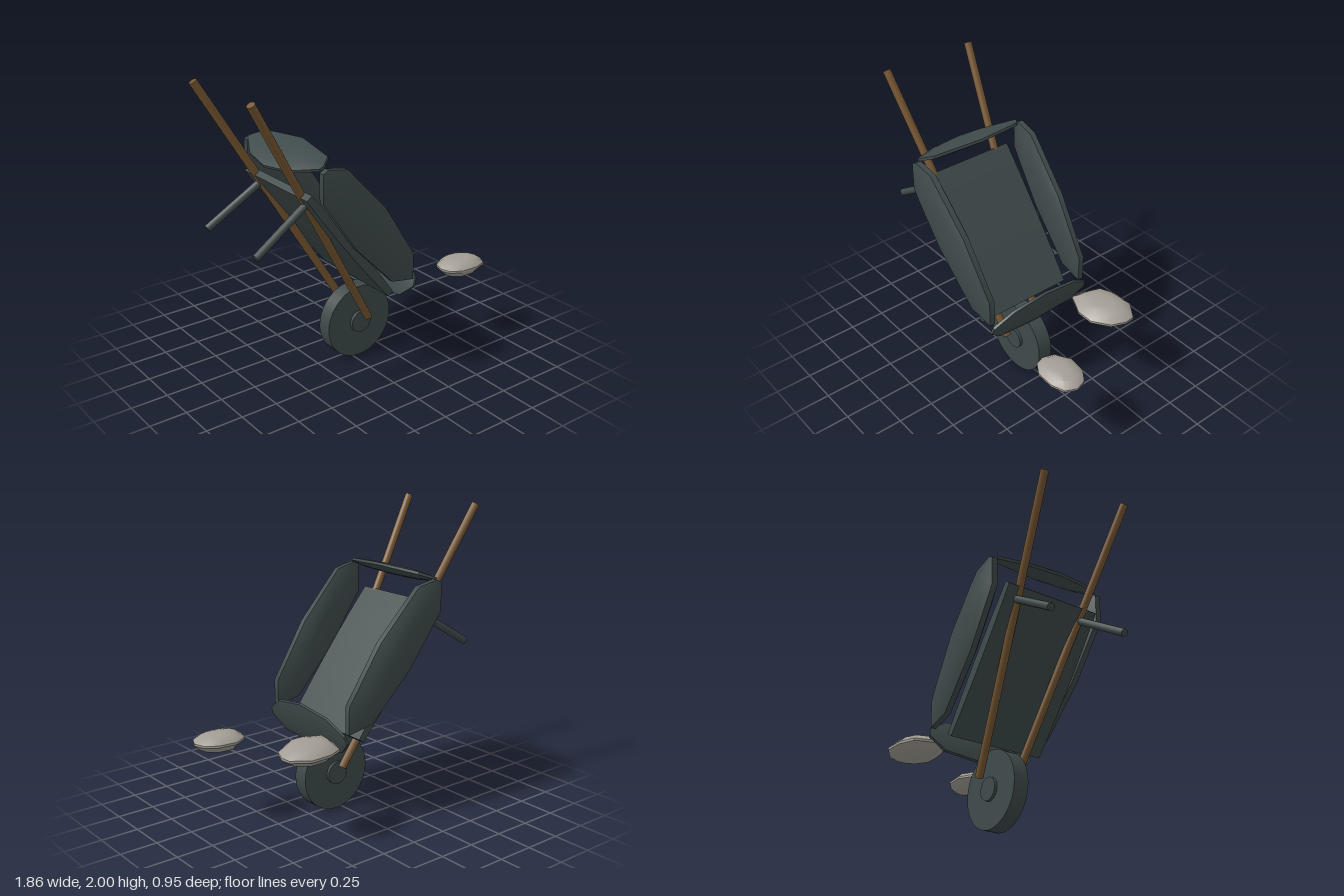
import * as THREE from 'three';
import { toCreasedNormals } from 'three/addons/utils/BufferGeometryUtils.js';

const V = (x, y, z) => new THREE.Vector3(x, y, z);
const MID = 0.015; // z of the barrow's centre plane

// Cushion-like solid: a 2D outline shrinking towards a domed top and bottom.
function lens(outline, top, bottom, rim) {
  const pts = outline.map(p => new THREE.Vector2(...p));
  if (THREE.ShapeUtils.isClockWise(pts)) pts.reverse();
  const c = pts.reduce((a, p) => a.add(p), new THREE.Vector2()).divideScalar(pts.length);
  const n = pts.length;
  const rings = [[0.36, -bottom * 0.95], [0.72, -bottom * 0.76], [1, -bottom * rim],
    [1, top * rim], [0.72, top * 0.76], [0.36, top * 0.95]];
  const pos = [], idx = [];
  for (const [s, h] of rings)
    for (const p of pts) pos.push(c.x + (p.x - c.x) * s, c.y + (p.y - c.y) * s, h);
  for (let r = 0; r < rings.length - 1; r++)
    for (let i = 0; i < n; i++) {
      const a = r * n + i, b = r * n + (i + 1) % n;
      idx.push(a, b, b + n, a, b + n, a + n);
    }
  const low = pos.length / 3, high = low + 1, last = (rings.length - 1) * n;
  pos.push(c.x, c.y, -bottom, c.x, c.y, top);
  for (let i = 0; i < n; i++) {
    const j = (i + 1) % n;
    idx.push(low, j, i, high, last + i, last + j);
  }
  const g = new THREE.BufferGeometry();
  g.setAttribute('position', new THREE.Float32BufferAttribute(pos, 3));
  g.setIndex(idx);
  return g;
}

// Places a flat shape: its x runs along u, its y along v, its thickness along w.
function place(g, u, v, w, at) {
  g.applyMatrix4(new THREE.Matrix4().makeBasis(u, v, w).setPosition(at));
  return toCreasedNormals(g, 0.65);
}

function rod(a, b, r) {
  const d = b.clone().sub(a);
  const g = new THREE.CylinderGeometry(r, r, d.length(), 12);
  g.applyQuaternion(new THREE.Quaternion().setFromUnitVectors(V(0, 1, 0), d.normalize()));
  const m = a.clone().add(b).multiplyScalar(0.5);
  return g.translate(m.x, m.y, m.z);
}

export function createModel() {
  const group = new THREE.Group();
  const mat = (name, color) => Object.assign(new THREE.MeshStandardMaterial({ color }), { name });
  const steel = mat('dark steel', 0x3f4a4a);
  const wood = mat('brown wood', 0x765631);
  const stone = mat('grey stone', 0xa39e95);
  const add = (name, g, m) => {
    const mesh = new THREE.Mesh(g, m);
    mesh.name = name;
    group.add(mesh);
  };

  // wheel and hub
  for (const [name, r, w] of [['wheel', 0.257, 0.105], ['hub', 0.077, 0.146]])
    add(name, new THREE.CylinderGeometry(r, r, w, 40).rotateX(Math.PI / 2).translate(0.05, 0.258, MID), steel);

  // tray floor: a plate, slightly thicker in the middle
  const length = 1.015;
  const floor = new THREE.BoxGeometry(length, 0.045, 0.685, 8, 1, 6);
  const p = floor.attributes.position;
  for (let i = 0; i < p.count; i++) {
    const t = 2 * p.getX(i) / length;
    p.setY(i, p.getY(i) * (1 + 0.6 * (1 - t * t)));
  }
  floor.computeVertexNormals();
  floor.rotateZ(Math.atan2(-0.8, 0.625)).translate(-0.235, 0.965, MID);
  add('trayFloor', floor, steel);

  // handles, legs and side panels, mirrored across the centre plane
  const side = [[-0.51, 1.53], [-0.47, 1.55], [-0.325, 1.52], [-0.02, 1.2], [0.22, 0.83],
    [0.22, 0.65], [0.04, 0.685], [-0.26, 0.99], [-0.51, 1.34]].map(([x, y]) => [x + 0.145, y - 1.1]);
  for (const s of [1, -1]) {
    const label = s > 0 ? 'left' : 'right';
    add(label + 'Handle', rod(V(-0.91, 1.985, MID + s * 0.32), V(0.06, 0.32, MID + s * 0.13), 0.027), wood);
    add(label + 'Leg', rod(V(-0.52, 1.285, MID + s * 0.25), V(-0.89, 1.055, MID + s * 0.28), 0.025), steel);
    add(label + 'SidePanel', place(lens(side, 0.06, 0.06, 0.32),
      V(1, 0, -s * 0.05), V(0, 1, 0), V(0, 0, 1), V(-0.145, 1.1, MID + s * 0.393)), steel);
  }

  // end panels: half outline mirrored, tilted about z
  const endPanel = (name, half, angle, x, y) => {
    const mirrored = half.filter(q => q[1] > 0).reverse().map(([a, b]) => [a, -b]);
    const u = V(Math.cos(angle), Math.sin(angle), 0), v = V(0, 0, 1);
    add(name, place(lens([...half, ...mirrored], 0.028, 0.028, 0.32),
      u, v, u.clone().cross(v), V(x, y, MID)), steel);
  };
  endPanel('rearPanel', [[-0.155, 0], [-0.115, 0.21], [-0.01, 0.39], [0.02, 0.39], [0.1, 0.33], [0.155, 0]],
    0.39, -0.495, 1.548);
  endPanel('frontPanel', [[-0.16, 0], [-0.125, 0.3], [-0.03, 0.395], [0.025, 0.385], [0.12, 0.25], [0.16, 0]],
    1.2, 0.24, 0.622);

  // tipped-out stones, outlines given as (x, z)
  const rock = (name, outline, y, top, bottom) =>
    add(name, place(lens(outline.map(([x, z]) => [x, -z]), top, bottom, 0.12),
      V(1, 0, 0), V(0, 0, -1), V(0, 1, 0), V(0, y, 0)), stone);
  rock('largeStone', [[0.285, -0.23], [0.3, -0.33], [0.335, -0.43], [0.44, -0.475], [0.58, -0.48],
    [0.695, -0.4], [0.7, -0.33], [0.66, -0.235], [0.55, -0.16], [0.43, -0.16], [0.35, -0.2]], 0.597, 0.067, 0.064);
  rock('smallStone', [[0.585, 0.28], [0.61, 0.2], [0.705, 0.145], [0.83, 0.16], [0.905, 0.215],
    [0.93, 0.29], [0.895, 0.365], [0.805, 0.395], [0.68, 0.39], [0.605, 0.34]], 0.562, 0.053, 0.067);

  return group;
}
